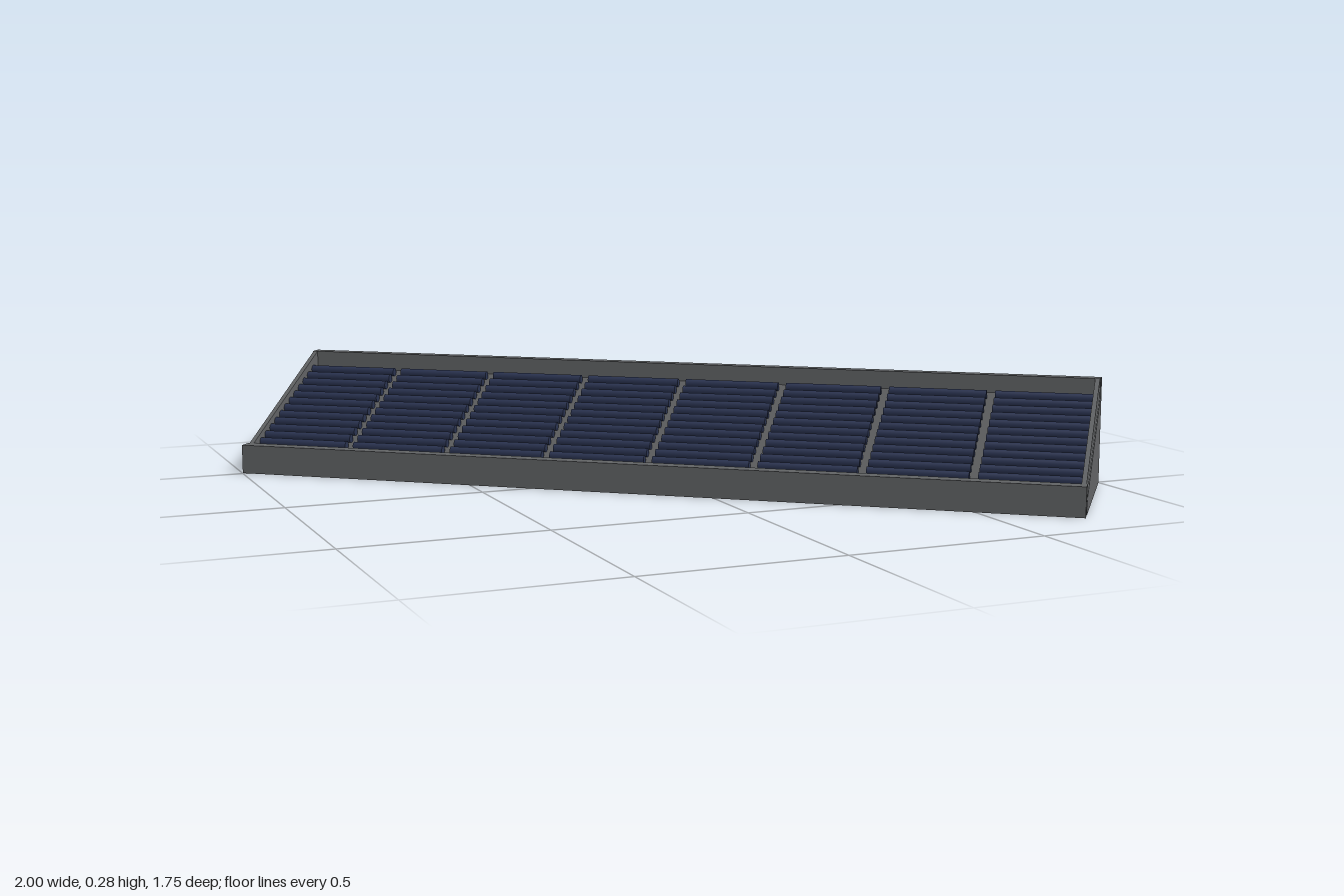
import * as THREE from 'three';

export function createModel() {
  const root = new THREE.Group();
  root.name = 'slopedTubeArray';
  const mat = (name, color) => {
    const m = new THREE.MeshStandardMaterial({ color });
    m.name = name;
    return m;
  };
  const frame = mat('frame grey', 0x606264);
  const board = mat('board grey', 0x5a5b5c);
  const post = mat('post dark grey', 0x36393c);
  const navy = mat('tube navy', 0x29324f);

  // Main body is turned on the ground; local x runs along it, +z is its low edge
  const body = new THREE.Group();
  body.name = 'body';
  body.rotation.y = -0.682;
  root.add(body);

  const L = 2.19, W = 0.472, BAYS = 8, PITCH = L / BAYS;

  const box = (parent, name, material, size, pos) => {
    const m = new THREE.Mesh(new THREE.BoxGeometry(...size), material);
    m.name = name;
    m.position.set(...pos);
    parent.add(m);
    return m;
  };

  // Cross-section in (z, y), extruded along x and centred at x
  const section = (name, pts, length, x) => {
    const shape = new THREE.Shape(pts.map(([z, y]) => new THREE.Vector2(-z, y)));
    const geo = new THREE.ExtrudeGeometry(shape, { depth: length, bevelEnabled: false });
    geo.translate(0, 0, -length / 2).rotateY(Math.PI / 2);
    const m = new THREE.Mesh(geo, frame);
    m.name = name;
    m.position.x = x;
    body.add(m);
  };

  // Low front beam with a top lip, and high back beam
  const f = W / 2;
  section('frontBeam', [[f, 0], [f, 0.075], [f - 0.038, 0.075], [f - 0.038, 0.037],
    [f - 0.012, 0.037], [f - 0.012, 0]], L, 0);
  section('backBeam', [[-f, 0.225], [-f, 0.275], [-f + 0.034, 0.275], [-f + 0.034, 0.225]], L, 0);

  // End walls with sloping rails on top
  for (const s of [-1, 1]) {
    section('endWall', [[-f, 0], [f - 0.038, 0], [f - 0.038, 0.037], [-f + 0.034, 0.228],
      [-f, 0.228]], 0.01, s * (L / 2 - 0.005));
    section('endRail', [[f - 0.038, 0.037], [f - 0.038, 0.075], [-f + 0.034, 0.275],
      [-f + 0.034, 0.228]], 0.012, s * (L / 2 - 0.009));
  }

  // Sloping deck: backing board with rows of tubes in eight bays
  const deck = new THREE.Group();
  deck.name = 'deck';
  deck.position.set(0, 0.133, 0);
  deck.rotation.x = 0.446;
  body.add(deck);
  box(deck, 'backingBoard', board, [L - 0.02, 0.008, 0.445], [0, -0.004, 0]);

  const ROWS = 13, span = 0.425;
  const tubeGeo = new THREE.CylinderGeometry(0.0115, 0.0115, PITCH - 0.022, 10).rotateZ(Math.PI / 2);
  for (let b = 0; b < BAYS; b++) {
    const bay = new THREE.Group();
    bay.name = 'tubeBay';
    bay.position.x = (b - (BAYS - 1) / 2) * PITCH;
    for (let r = 0; r < ROWS; r++) {
      const tube = new THREE.Mesh(tubeGeo, navy);
      tube.name = 'tube';
      tube.position.set(0, 0.011, ((r + 0.5) / ROWS - 0.5) * span);
      bay.add(tube);
    }
    deck.add(bay);
  }

  // Two rows of thin posts between the bays
  for (let i = 1; i < BAYS; i++) {
    const x = -L / 2 + i * PITCH;
    box(body, 'backPost', post, [0.008, 0.226, 0.008], [x, 0.113, -f + 0.008]);
    box(body, 'innerPost', post, [0.006, 0.184, 0.006], [x, 0.092, -f + 0.11]);
  }

  // Two long rails across the open back
  for (const y of [0.078, 0.155]) {
    box(body, 'backRail', post, [L - 0.02, 0.007, 0.007], [0, y, -f + 0.008]);
  }
  return root;
}
